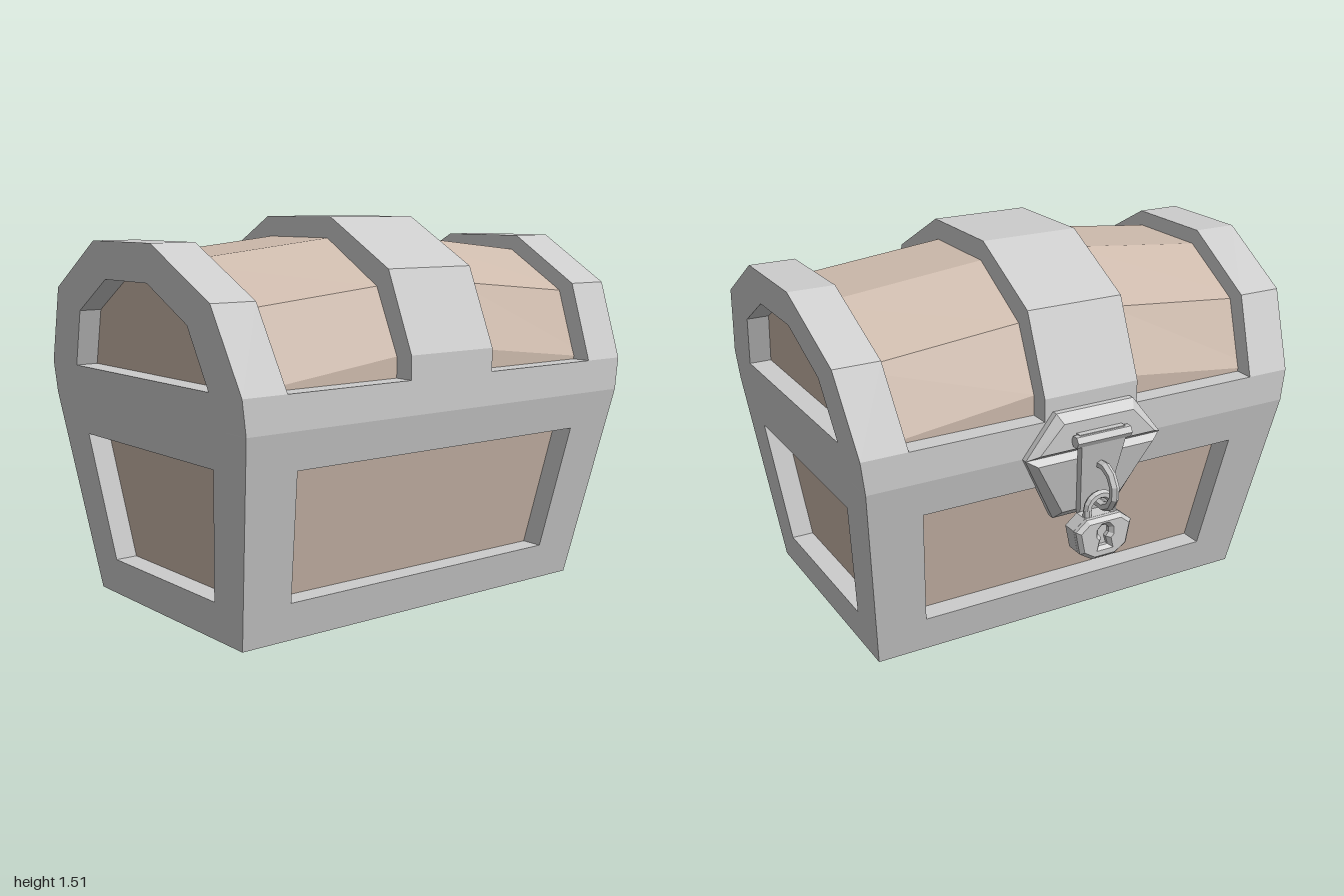
import * as THREE from 'three';

const grey = new THREE.MeshStandardMaterial({ color: 0xcccccc, flatShading: true });
const wood = new THREE.MeshStandardMaterial({ color: 0xccb9ab, flatShading: true });

const endX = (y) => 0.835 + 0.116 * y;   // end walls lean outwards
const wallZ = (y) => 0.505 + 0.2125 * y; // long walls lean outwards
const LOCK_Z = 0.095;                    // body is set forward to make room for the lock

// Right-hand half outline (bottom to top) -> closed symmetric outline
const symmetric = (half) => [...half, ...half.map(([x, y]) => [-x, y]).reverse()];
const points = (list) => list.map(([x, y]) => new THREE.Vector2(x, y));

function extrude(half, depth, holes = [], options = {}) {
  const shape = new THREE.Shape(points(symmetric(half)));
  holes.forEach((h) => shape.holes.push(new THREE.Path(points(symmetric(h)))));
  return new THREE.ExtrudeGeometry(shape, { depth, bevelEnabled: false, curveSegments: 8, ...options });
}

// Move every vertex by a rule
function warp(geometry, rule) {
  const p = geometry.attributes.position;
  const v = new THREE.Vector3();
  for (let i = 0; i < p.count; i++) {
    v.fromBufferAttribute(p, i);
    rule(v);
    p.setXYZ(i, v.x, v.y, v.z);
  }
  geometry.computeVertexNormals();
  return geometry;
}

// Skin a row of cross-sections running along +x, with closed ends
function loft(sections) {
  const out = [];
  const tri = (...corners) => corners.forEach((c) => out.push(...c));
  const n = sections[0].length;
  for (let s = 0; s < sections.length - 1; s++) {
    const a = sections[s], b = sections[s + 1];
    for (let i = 0; i < n; i++) {
      const j = (i + 1) % n;
      tri(a[i], a[j], b[j]);
      tri(a[i], b[j], b[i]);
    }
  }
  const first = sections[0], last = sections[sections.length - 1];
  for (let i = 1; i < n - 1; i++) {
    tri(first[0], first[i + 1], first[i]);
    tri(last[0], last[i], last[i + 1]);
  }
  const g = new THREE.BufferGeometry();
  g.setAttribute('position', new THREE.Float32BufferAttribute(out, 3));
  g.computeVertexNormals();
  return g;
}

function add(parent, name, geometry, material = grey) {
  const mesh = new THREE.Mesh(geometry, material);
  mesh.name = name;
  parent.add(mesh);
  return mesh;
}

// Wooden core: recessed panels and lid planks, swelling towards the middle
function woodGeometry() {
  const section = (shoulder, upper, top, xAt) => {
    const half = [[0.42, 0.02], [0.585, 0.8], [0.595, 0.93], [0.595, shoulder], [0.48, upper], [0.185, top]];
    const ring = [...half.map(([z, y]) => [-z, y]), ...[...half].reverse()];
    return ring.map(([z, y]) => [xAt(y), y, z]);
  };
  const end = (side) => section(0.932, 1.195, 1.355, (y) => side * (endX(y) - 0.09));
  const mid = (side) => section(1.01, 1.26, 1.43, () => side * 0.2);
  return loft([end(-1), mid(-1), mid(1), end(1)]);
}

function createLock() {
  const lock = new THREE.Group();
  lock.name = 'lock';
  const bevel = { bevelEnabled: true, bevelSegments: 1, bevelSize: 0.035, bevelThickness: 0.03, bevelOffset: -0.035 };
  const wall = (y) => wallZ(y) - LOCK_Z;

  // Bevelled back plates on lid and body
  const upper = extrude([[0.3, 0.8], [0.17, 0.965]], 0.03, [], bevel);
  add(lock, 'upperPlate', upper.translate(0, 0, 0.575));
  const lower = extrude([[0.14, 0.5], [0.3, 0.8]], 0.03, [], bevel);
  add(lock, 'lowerPlate', warp(lower, (v) => { v.z += wall(v.y) - 0.01; }));

  // Hinged strap
  const hinge = add(lock, 'hingePin', new THREE.CylinderGeometry(0.025, 0.025, 0.24, 6));
  hinge.rotation.z = Math.PI / 2;
  hinge.position.set(0, 0.86, 0.657);
  const hingeBlock = add(lock, 'hingeBlock', new THREE.BoxGeometry(0.2, 0.05, 0.05));
  hingeBlock.position.set(0, 0.86, 0.635);
  const strap = extrude([[0.055, 0.51], [0.1, 0.86]], 0.03);
  add(lock, 'strap', warp(strap, (v) => { v.z += 0.462 + 0.2125 * v.y; }));

  // Half-ring staple
  const staple = add(lock, 'staple', new THREE.TorusGeometry(0.085, 0.019, 6, 7, Math.PI * 1.2));
  staple.rotation.set(0, -Math.PI / 2, 0);
  staple.geometry.rotateZ(-Math.PI * 0.6);
  staple.position.set(0, 0.662, 0.665);

  // Padlock with shackle and keyhole
  const padlock = new THREE.Group();
  padlock.name = 'padlock';
  lock.add(padlock);
  const outline = [[0.05, 0.365], [0.105, 0.4], [0.125, 0.497], [0.075, 0.537]];
  const keyhole = [[0.02, 0.415], [0.01, 0.45], [0.024, 0.465], [0.024, 0.485], [0.01, 0.5]];
  const face = { bevelEnabled: true, bevelSegments: 1, bevelSize: 0.015, bevelThickness: 0.015, bevelOffset: -0.015 };
  add(padlock, 'padlockFace', extrude(outline, 0.015, [keyhole], face).translate(0, 0, 0.667));
  add(padlock, 'padlockBody', extrude(outline, 0.06).translate(0, 0, 0.606));
  const shackle = add(padlock, 'shackle', new THREE.TorusGeometry(0.056, 0.017, 6, 8, Math.PI));
  shackle.position.set(0, 0.563, 0.652);
  for (const side of [-1, 1]) {
    const leg = add(padlock, 'shackleLeg', new THREE.CylinderGeometry(0.017, 0.017, 0.05, 6));
    leg.position.set(side * 0.056, 0.54, 0.652);
  }
  lock.rotation.y = Math.PI;
  return lock;
}

export function createModel() {
  const model = new THREE.Group();
  model.name = 'chest';
  const body = new THREE.Group();
  body.name = 'chestBody';
  body.position.z = LOCK_Z;
  model.add(body);

  add(body, 'woodenCore', woodGeometry(), wood);
  const base = add(body, 'base', new THREE.BoxGeometry(1.67, 0.03, 1.01));
  base.position.y = 0.015;

  // End walls with arch tops; each has a lower and a lid panel opening
  const endOutline = [[0.505, 0], [0.675, 0.8], [0.675, 0.93], [0.545, 1.235], [0.205, 1.425]];
  const lowerOpening = [[0.355, 0.15], [0.45, 0.655]];
  const lidOpening = [[0.475, 0.93], [0.385, 1.152], [0.15, 1.283]];
  const endWall = extrude(endOutline, 0.185, [lowerOpening, lidOpening]).rotateY(Math.PI / 2);
  warp(endWall, (v) => { v.x += endX(v.y) - 0.185; });

  // Long walls with one panel opening, and the rim above
  const longWall = extrude([[endX(0), 0], [endX(0.8), 0.8]], 0.1, [[[0.645, 0.15], [0.695, 0.655]]]);
  warp(longWall, (v) => { v.z += wallZ(v.y) - 0.1; });
  const rim = new THREE.BoxGeometry(1.856, 0.13, 0.12).translate(0, 0.865, 0.615);

  for (const turn of [0, Math.PI]) {
    add(body, 'endWall', endWall).rotation.y = turn;
    add(body, 'longWall', longWall).rotation.y = turn;
    add(body, 'rim', rim).rotation.y = turn;
  }

  // Raised band over the middle of the lid
  const band = extrude([[0.675, 0.8], [0.675, 1.02], [0.545, 1.325], [0.205, 1.51]], 0.41);
  add(body, 'middleBand', band.translate(0, 0, -0.205).rotateY(Math.PI / 2));

  model.add(createLock());
  return model;
}
